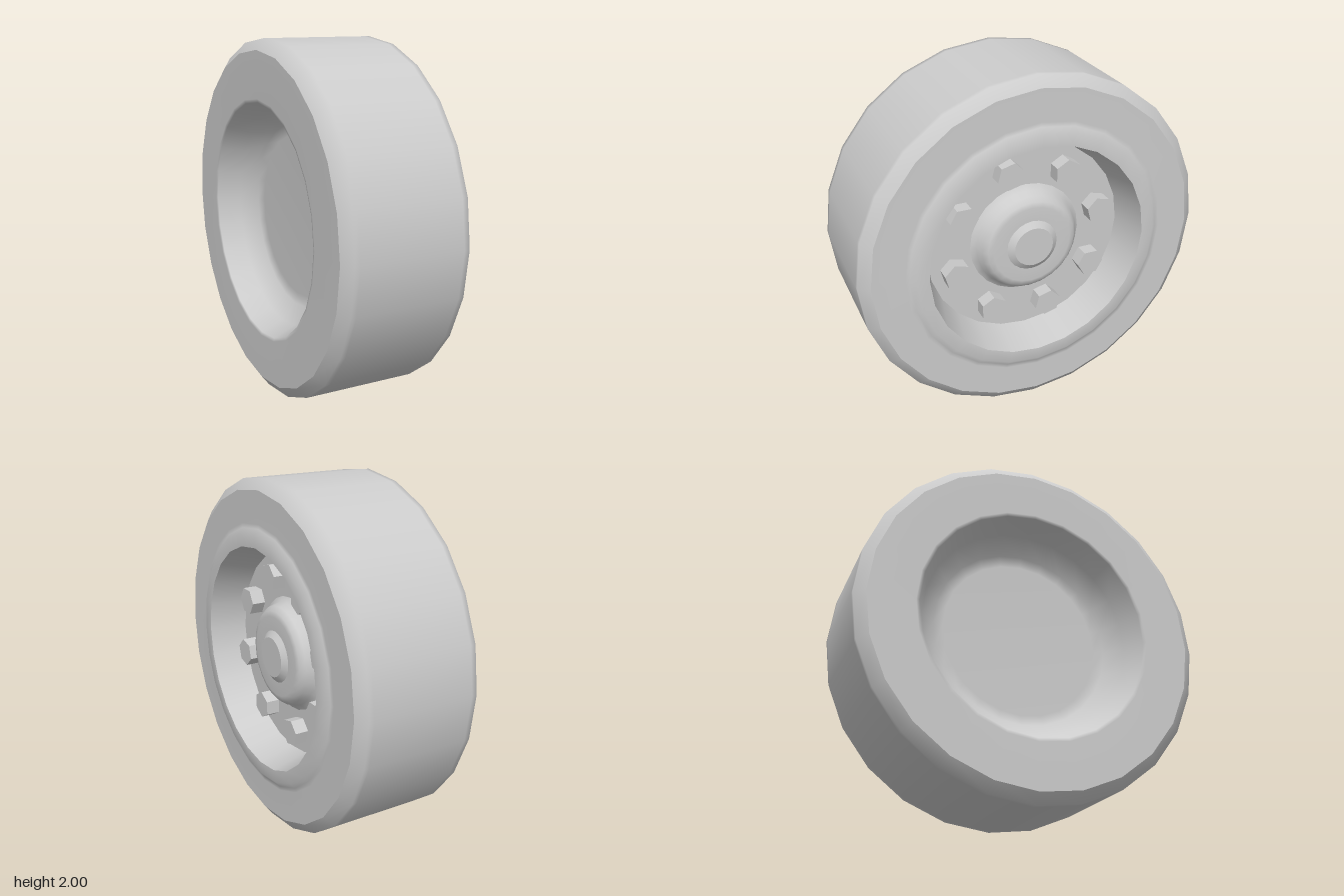
import * as THREE from 'three';

const SIDES = 24;
const material = new THREE.MeshStandardMaterial({ color: 0xcccccc });

// Each band is a smooth profile of [radius, offset along the axle]; bands meet in sharp edges.
function turned(name, bands) {
  const group = new THREE.Group();
  group.name = name;
  bands.forEach((band, i) => {
    const points = band.map(([r, a]) => new THREE.Vector2(r, a));
    const mesh = new THREE.Mesh(new THREE.LatheGeometry(points, SIDES), material);
    mesh.name = `${name}Band${i + 1}`;
    group.add(mesh);
  });
  return group;
}

export function createModel() {
  const model = new THREE.Group();
  model.name = 'wheel';

  // Everything is turned around y, then laid over so the outer face looks to +x
  const wheel = new THREE.Group();
  wheel.name = 'wheelAssembly';
  wheel.rotation.z = -Math.PI / 2;
  wheel.position.y = 1;
  model.add(wheel);

  // Tyre: dished back with side wall, bevelled tread, outer side wall with raised lip
  wheel.add(turned('tyre', [
    [[0, -0.15], [0.46, -0.15], [0.52, -0.165], [0.61, -0.25], [0.66, -0.38], [0.68, -0.385], [0.94, -0.385]],
    [[0.94, -0.385], [1, -0.34], [1, -0.31], [1, 0.28], [1, 0.31], [0.94, 0.355]],
    [[0.94, 0.355], [0.76, 0.355], [0.735, 0.357], [0.705, 0.38], [0.635, 0.38]],
  ]));

  // Rim: tapered barrel and flat disc
  wheel.add(turned('rim', [
    [[0.635, 0.38], [0.58, 0.17]],
    [[0.58, 0.17], [0, 0.17]],
  ]));

  // Hub with a raised cap in its middle
  wheel.add(turned('hub', [
    [[0.33, 0.17], [0.3, 0.19], [0.285, 0.235], [0.26, 0.262], [0.23, 0.27], [0.15, 0.27]],
    [[0.15, 0.27], [0.115, 0.295]],
    [[0.115, 0.295], [0, 0.295]],
  ]));

  // Ring of hexagonal wheel nuts
  const nutMaterial = material.clone();
  nutMaterial.flatShading = true;
  const nutGeometry = new THREE.CylinderGeometry(0.08, 0.08, 0.1, 6);
  for (let i = 0; i < 8; i++) {
    const angle = Math.PI / 12 + (i * Math.PI) / 4;
    const nut = new THREE.Mesh(nutGeometry, nutMaterial);
    nut.name = `wheelNut${i + 1}`;
    nut.position.set(-0.445 * Math.cos(angle), 0.2, 0.445 * Math.sin(angle));
    nut.rotation.y = angle;
    wheel.add(nut);
  }

  return model;
}
